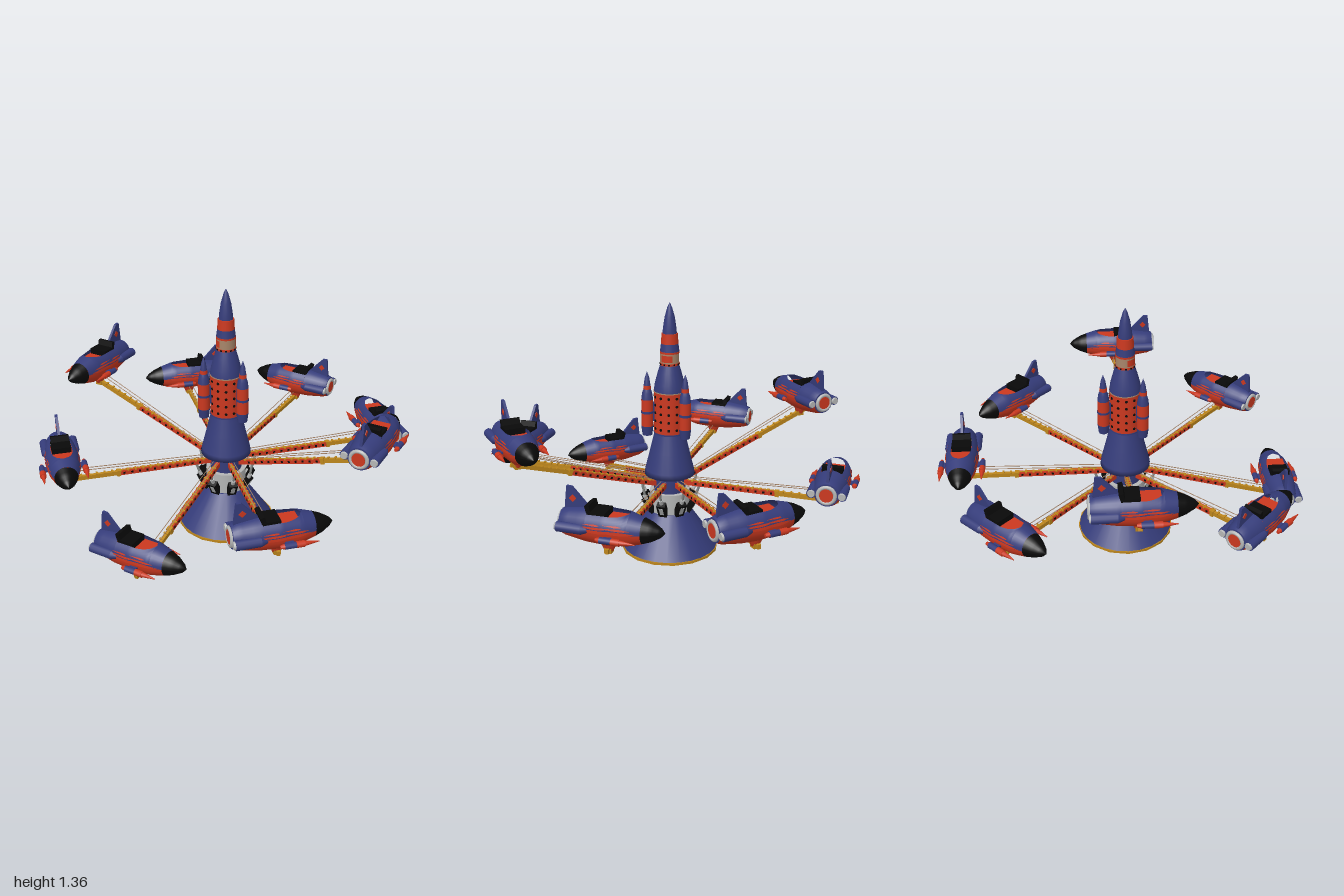
import * as THREE from 'three';

const mat = (name, color, side = THREE.FrontSide) => {
  const m = new THREE.MeshStandardMaterial({ color, side });
  m.name = name;
  return m;
};

export function createModel() {
  const blue = mat('blue', 0x353c7a, THREE.DoubleSide);
  const red = mat('red', 0xcb381f, THREE.DoubleSide);
  const gold = mat('gold', 0xbd861c);
  const black = mat('black', 0x090909);
  const grey = mat('light grey', 0xb4b6b6);
  const tan = mat('tan', 0xa8866a);
  const dark = mat('dark grey', 0x868a88);

  const add = (parent, name, geo, material, x = 0, y = 0, z = 0) => {
    const m = new THREE.Mesh(geo, material);
    m.name = name;
    m.position.set(x, y, z);
    parent.add(m);
    return m;
  };
  const group = (parent, name) => {
    const g = new THREE.Group();
    g.name = name;
    parent.add(g);
    return g;
  };
  const box = (w, h, d) => new THREE.BoxGeometry(w, h, d);
  const lathe = (pts, n) => new THREE.LatheGeometry(pts.map(p => new THREE.Vector2(...p)), n);
  // upright frustum standing between two heights
  const drum = (parent, name, material, r0, r1, y0, y1, n = 20) =>
    add(parent, name, new THREE.CylinderGeometry(r1, r0, y1 - y0, n), material, 0, (y0 + y1) / 2, 0);
  // frustum lying along x
  const rod = (parent, name, material, r0, r1, x0, x1, y, z, n = 12) =>
    add(parent, name, new THREE.CylinderGeometry(r1, r0, x1 - x0, n).rotateZ(-Math.PI / 2), material, (x0 + x1) / 2, y, z);
  // thin bar between two points in the xy plane
  const bar = (parent, name, material, r, a, b, z, n = 6) => {
    const dx = b[0] - a[0], dy = b[1] - a[1];
    const m = add(parent, name, new THREE.CylinderGeometry(r, r, Math.hypot(dx, dy), n), material, (a[0] + b[0]) / 2, (a[1] + b[1]) / 2, z);
    m.rotation.z = Math.atan2(dy, dx) - Math.PI / 2;
    return m;
  };

  const model = new THREE.Group();
  model.name = 'rocketRide';

  // Base and drum
  const base = group(model, 'base');
  drum(base, 'baseRim', gold, 0.264, 0.264, 0.003, 0.017, 16);
  drum(base, 'baseUnderside', dark, 0.257, 0.257, 0, 0.004, 16);
  drum(base, 'baseCone', blue, 0.258, 0.115, 0.017, 0.222, 24);
  drum(base, 'machineDrum', grey, 0.108, 0.108, 0.222, 0.335, 24);
  drum(base, 'hubColumn', blue, 0.085, 0.085, 0.335, 0.44);

  // Central rocket
  const tower = group(model, 'centralRocket');
  add(tower, 'towerSkirt', lathe([[0, 0.43], [0.135, 0.43], [0.13, 0.46], [0.105, 0.56], [0.08, 0.665]], 24), blue);
  drum(tower, 'towerDrum', red, 0.083, 0.083, 0.665, 0.89, 24);
  drum(tower, 'drumLowerBand', blue, 0.085, 0.085, 0.66, 0.668, 24);
  drum(tower, 'drumUpperBand', tan, 0.085, 0.085, 0.887, 0.892, 24);
  add(tower, 'towerShoulder', lathe([[0.083, 0.892], [0.078, 0.93], [0.062, 0.99], [0.05, 1.03]], 24), blue);
  drum(tower, 'neckRed', red, 0.051, 0.051, 1.03, 1.042);
  drum(tower, 'neckTan', tan, 0.049, 0.049, 1.042, 1.092);
  drum(tower, 'neckStripe', red, 0.051, 0.051, 1.092, 1.102);
  drum(tower, 'neckBlue', blue, 0.05, 0.045, 1.102, 1.142);
  drum(tower, 'neckUpper', red, 0.045, 0.042, 1.142, 1.195);
  add(tower, 'noseCone', lathe([[0.037, 1.19], [0.035, 1.22], [0.026, 1.28], [0.012, 1.33], [0, 1.355]], 20), blue);
  for (const s of [0, 1])
    add(tower, 'neckPanel', new THREE.CylinderGeometry(0.051, 0.051, 0.036, 8, 1, true, s * Math.PI + 0.95, 1.24), red, 0, 1.067, 0);
  for (let i = 0; i < 12; i++) {
    const a = (i + 0.5) * Math.PI / 6;
    for (let j = 0; j < 5; j++) {
      const hole = add(tower, 'drumHole', new THREE.CylinderGeometry(0.0075, 0.0075, 0.004, 8).rotateX(Math.PI / 2), black,
        0.083 * Math.sin(a), 0.692 + j * 0.043, 0.083 * Math.cos(a));
      hole.rotation.y = a;
    }
    const slot = add(tower, 'neckSlot', box(0.009, 0.007, 0.004), black, 0.051 * Math.sin(a), 1.036, 0.051 * Math.cos(a));
    slot.rotation.y = a;
  }

  // Three boosters around the central rocket
  for (let i = 0; i < 3; i++) {
    const a = Math.PI / 3 + i * Math.PI * 2 / 3;
    const b = group(tower, 'booster');
    b.position.set(0.12 * Math.cos(a), 0, 0.12 * Math.sin(a));
    b.rotation.y = -a;
    drum(b, 'boosterNozzle', blue, 0.026, 0.032, 0.655, 0.705, 14);
    drum(b, 'boosterBody', red, 0.031, 0.031, 0.705, 0.85, 14);
    drum(b, 'boosterBand', blue, 0.033, 0.033, 0.775, 0.787, 14);
    add(b, 'boosterShoulder', lathe([[0.031, 0.85], [0.026, 0.885], [0.019, 0.905]], 14), blue);
    drum(b, 'boosterRing', red, 0.02, 0.019, 0.905, 0.925, 14);
    add(b, 'boosterNose', lathe([[0.018, 0.925], [0.012, 0.965], [0, 1.0]], 14), blue);
    add(b, 'boosterMount', box(0.04, 0.1, 0.016), blue, -0.025, 0.78, 0);
  }

  // Pod hull, lying along x, cut into patches by length and angle
  const hullProfile = [[-0.22, 0.058], [-0.2, 0.067], [-0.1, 0.083], [0, 0.088], [0.1, 0.08], [0.17, 0.06], [0.21, 0.045], [0.25, 0.022], [0.27, 0]];
  const radiusAt = x => {
    const i = Math.max(1, hullProfile.findIndex(p => p[0] >= x - 1e-6));
    const [a, b] = [hullProfile[i - 1], hullProfile[i]];
    return a[1] + (b[1] - a[1]) * (x - a[0]) / (b[0] - a[0]);
  };
  // angles are functions of x, measured upwards from the right side: 0 to PI is the top half
  const patch = (x0, x1, low, high, nx, na, lift = 0) => {
    const geo = new THREE.PlaneGeometry(1, 1, nx, na);
    const p = geo.attributes.position;
    for (let i = 0; i < p.count; i++) {
      const x = x0 + (x1 - x0) * (p.getX(i) + 0.5);
      const a = low(x) + (high(x) - low(x)) * (p.getY(i) + 0.5);
      const r = radiusAt(x) + lift;
      p.setXYZ(i, x, r * Math.sin(a), r * Math.cos(a));
    }
    geo.computeVertexNormals();
    return geo;
  };
  const PI = Math.PI, at = v => () => v;
  // half width of the cockpit opening: square at the back, rounded at the front
  const gap = x => 0.68 * Math.sqrt(Math.max(0, 1 - Math.max(0, (x - 0.01) / 0.1) ** 2));
  const shells = [
    ['lowerHull', red, patch(-0.22, 0.17, at(-PI), at(0), 16, 14)],
    ['rearHull', blue, patch(-0.22, -0.085, at(0), at(PI), 6, 14)],
    ['cockpitSide', blue, patch(-0.085, 0.11, at(0), x => PI / 2 - gap(x), 16, 7)],
    ['cockpitSide', blue, patch(-0.085, 0.11, x => PI / 2 + gap(x), at(PI), 16, 7)],
    ['frontHull', blue, patch(0.11, 0.17, at(0), at(PI), 4, 14)],
    ['noseTip', black, patch(0.17, 0.27, at(0), at(2 * PI), 10, 24)],
  ];
  // flame streaks: tail x, head x, height angle, half thickness; pointed at both ends
  const flames = [[-0.21, 0.04, 0.02, 0.08], [-0.1, 0.15, 0.06, 0.09], [-0.16, 0.02, 0.2, 0.06], [-0.04, 0.13, 0.25, 0.06],
    [-0.1, -0.01, 0.36, 0.05], [0, 0.09, 0.42, 0.05]];
  for (const [x0, x1, a, w] of flames) {
    const t = x => w * Math.min(1, 1.6 * (x - x0) / (x1 - x0), 5 * (x1 - x) / (x1 - x0));
    shells.push(['flame', red, patch(x0, x1, x => a - t(x), x => a + t(x), 12, 1, 0.002)]);
    shells.push(['flame', red, patch(x0, x1, x => PI - a - t(x), x => PI - a + t(x), 12, 1, 0.002)]);
  }
  const finShape = new THREE.Shape([[-0.07, 0.06], [-0.172, 0.17], [-0.198, 0.172], [-0.212, 0.04]].map(p => new THREE.Vector2(...p)));
  const finGeo = new THREE.ExtrudeGeometry(finShape, { depth: 0.014, bevelEnabled: false }).translate(0, 0, -0.007);

  const makePod = parent => {
    const pod = group(parent, 'rocketPod');
    for (const [name, material, geo] of shells) add(pod, name, geo, material);
    add(pod, 'cockpitFloor', box(0.185, 0.05, 0.11), red, 0.008, 0.022, 0);
    add(pod, 'seat', box(0.085, 0.03, 0.1), black, -0.04, 0.062, 0);
    add(pod, 'seatBack', box(0.022, 0.06, 0.094), black, -0.078, 0.075, 0).rotation.z = 0.25;
    add(pod, 'tailFin', finGeo, blue);
    add(pod, 'finBadge', box(0.026, 0.026, 0.018), red, -0.168, 0.115, 0).rotation.z = 0.8;
    // tail nozzle
    rod(pod, 'tailPlate', blue, 0.058, 0.058, -0.222, -0.216, 0, 0, 20);
    add(pod, 'tailRing', new THREE.TorusGeometry(0.042, 0.01, 8, 20).rotateY(PI / 2), grey, -0.224, 0, 0);
    rod(pod, 'tailNozzle', red, 0.034, 0.034, -0.232, -0.22, 0, 0, 16);
    for (const s of [-1, 1]) {
      rod(pod, 'sideTube', blue, 0.024, 0.024, -0.22, -0.1, 0, s * 0.075);
      rod(pod, 'sideTubeFront', blue, 0.024, 0.006, -0.1, -0.055, 0, s * 0.075);
      rod(pod, 'sideTubeEnd', grey, 0.017, 0.02, -0.229, -0.22, 0, s * 0.075);
      rod(pod, 'gunBody', blue, 0.015, 0.015, 0.0, 0.055, -0.022, s * 0.109, 10);
      rod(pod, 'gunBand', red, 0.016, 0.016, 0.055, 0.095, -0.022, s * 0.109, 10);
      rod(pod, 'gunTail', red, 0.008, 0.013, -0.02, 0.0, -0.022, s * 0.109, 10);
      rod(pod, 'gunTip', red, 0.013, 0.002, 0.095, 0.165, -0.022, s * 0.109, 10);
      add(pod, 'gunMount', box(0.04, 0.01, 0.04), blue, 0.03, -0.02, s * 0.09);
    }
    add(pod, 'pylon', new THREE.CylinderGeometry(0.05, 0.022, 0.06, 10).scale(1, 1, 0.7), red, 0, -0.09, 0);
    return pod;
  };

  // Eight arms, each with its own lift angle in degrees
  const lifts = [0, 0, 0, 20, 0, -15.5, 0, 17];
  const pivotX = 0.09, pivotY = 0.385, reach = 0.785;
  lifts.forEach((deg, i) => {
    const spoke = group(model, 'spoke');
    spoke.rotation.y = i * PI / 4;
    const lift = deg * PI / 180;
    const tip = [pivotX + reach * Math.cos(lift), pivotY + reach * Math.sin(lift)];

    const arm = group(spoke, 'arm');
    arm.position.set(pivotX, pivotY, 0);
    arm.rotation.z = lift;
    add(arm, 'innerArm', box(0.52, 0.026, 0.022), red, 0.24, 0, 0);
    add(arm, 'outerArm', box(0.33, 0.022, 0.018), gold, 0.655, 0, 0);
    add(arm, 'armTopStrip', box(0.48, 0.004, 0.009), gold, 0.25, 0.0135, 0);
    add(arm, 'armCollar', box(0.02, 0.032, 0.028), gold, 0.5, 0, 0);
    for (let k = 0; k < 11; k++) add(arm, 'armHole', box(0.011, 0.011, 0.025), black, 0.06 + k * 0.041, 0, 0);
    for (let k = 0; k < 18; k++) add(arm, 'armStud', box(0.01, 0.007, 0.026), gold, 0.04 + k * 0.041, 0.0125, 0);

    // levelling rods above the arm
    for (const z of [-0.012, 0.012])
      bar(spoke, 'levellingRod', tan, 0.0022, [pivotX + 0.02, pivotY + 0.03], [tip[0] - 0.02, tip[1] + 0.052], z);

    // lift cylinder and its bracket
    add(spoke, 'liftBracket', box(0.034, 0.085, 0.046), black, 0.125, 0.262, 0).rotation.z = -0.5;
    add(spoke, 'bracketPlate', box(0.036, 0.05, 0.022), grey, 0.127, 0.264, 0).rotation.z = -0.5;
    bar(spoke, 'liftCylinder', grey, 0.011, [0.115, 0.25], [0.152, 0.325], 0, 10);
    bar(spoke, 'liftPiston', dark, 0.007, [0.148, 0.318], [pivotX + 0.08 * Math.cos(lift), pivotY + 0.08 * Math.sin(lift)], 0, 8);

    add(spoke, 'podBearing', box(0.034, 0.036, 0.034), gold, tip[0], tip[1] + 0.002, 0);
    const pod = makePod(spoke);
    pod.position.set(tip[0], tip[1] + 0.115, 0);
    pod.rotation.y = PI / 2;
  });

  return model;
}
